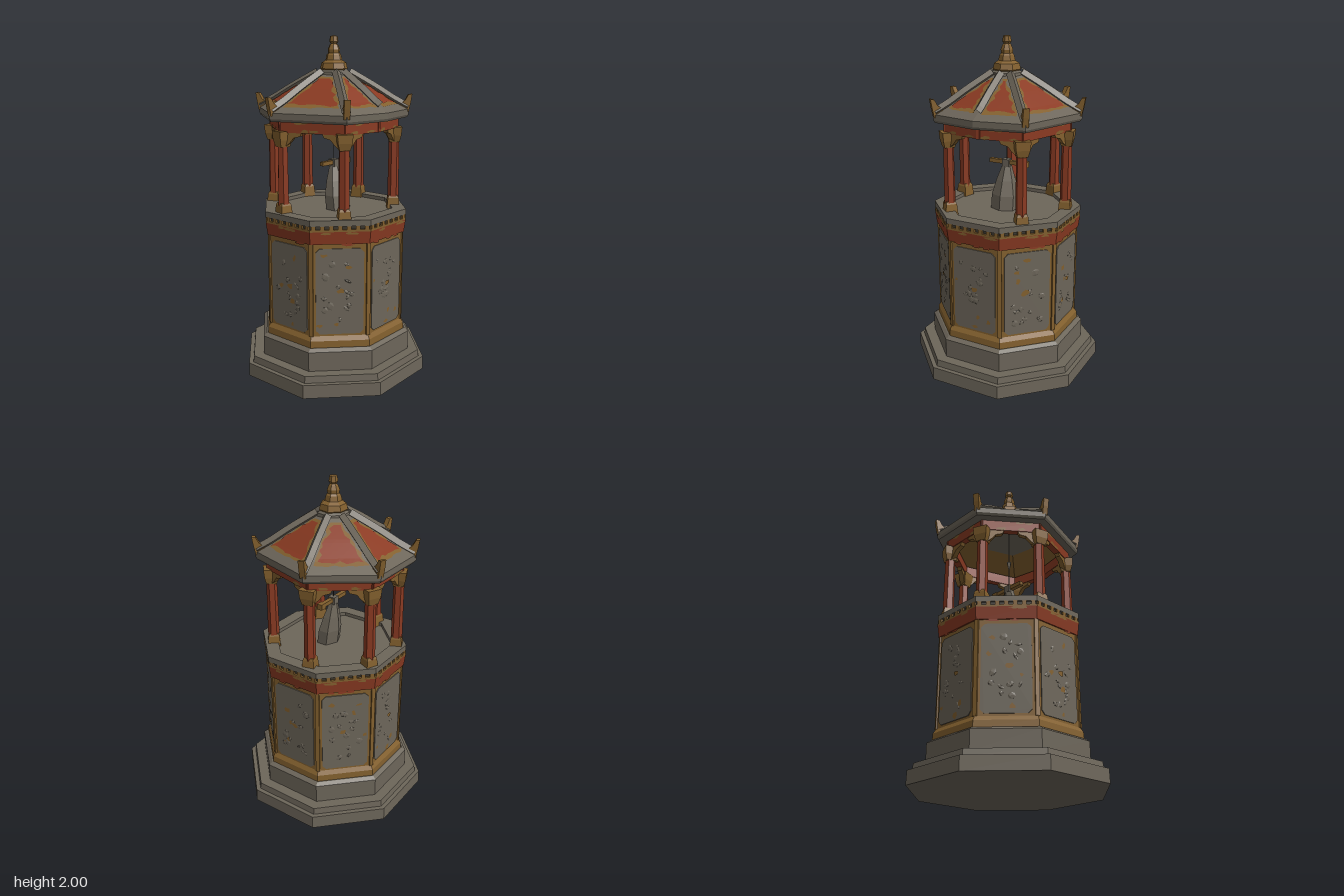
import * as THREE from 'three';

const mat = (name, color, side = THREE.FrontSide) => {
  const m = new THREE.MeshStandardMaterial({ color, flatShading: true, side });
  m.name = name;
  return m;
};

export function createModel() {
  const root = new THREE.Group();
  const stone = mat('weathered stone', 0x6d665a);
  const red = mat('faded red paint', 0x8a3a22);
  const gold = mat('tarnished gold', 0x83602e);
  const dark = mat('dark recess', 0x3b362d);

  let seed = 7;
  const rnd = () => (seed = (seed * 16807) % 2147483647) / 2147483647;
  const wob = a => (rnd() - 0.5) * 2 * a;

  const add = (parent, name, geo, m, x = 0, y = 0, z = 0) => {
    const mesh = new THREE.Mesh(geo, m);
    mesh.name = name;
    mesh.position.set(x, y, z);
    parent.add(mesh);
    return mesh;
  };
  const box = (p, name, m, w, h, d, x, y, z) => add(p, name, new THREE.BoxGeometry(w, h, d), m, x, y, z);
  // Octagonal tier given by its distance from the axis to a flat side
  const C8 = Math.cos(Math.PI / 8);
  const tier = (name, m, a0, a1, y0, y1) => {
    const g = new THREE.CylinderGeometry(a1 / C8, a0 / C8, y1 - y0, 8).rotateY(Math.PI / 8);
    return add(root, name, g, m, 0, (y0 + y1) / 2, 0);
  };
  // Thin ragged flake of paint facing +z
  const flake = (p, name, m, w, h, x, y, z) => {
    const g = new THREE.CircleGeometry(1, 8), a = g.attributes.position;
    for (let i = 1; i < 9; i++) {
      const k = 0.75 + wob(0.3);
      a.setXY(i, a.getX(i) * k, a.getY(i) * k);
    }
    a.setXY(9, a.getX(1), a.getY(1));
    return add(p, name, g.scale(w / 2, h / 2, 1), m, x, y, z);
  };

  // Stepped plinth and body
  tier('plinthStep', stone, 0.532, 0.53, 0, 0.08);
  tier('plinthStep', stone, 0.505, 0.5, 0.08, 0.12);
  tier('pedestal', stone, 0.44, 0.44, 0.12, 0.235);
  tier('pedestalChamfer', stone, 0.44, 0.42, 0.235, 0.25);
  tier('bodyFoot', gold, 0.412, 0.41, 0.25, 0.29);
  tier('bodyFootChamfer', gold, 0.41, 0.395, 0.29, 0.315);
  tier('body', gold, 0.395, 0.395, 0.315, 0.865);
  tier('redBand', red, 0.403, 0.412, 0.865, 0.938);
  tier('dentilLedge', gold, 0.412, 0.412, 0.938, 0.95);
  tier('dentilRecess', dark, 0.4, 0.4, 0.95, 0.972);

  // Rim around the sunken floor
  const octagon = (Ctor, a) => new Ctor(Array.from({ length: 8 }, (_, i) => {
    const t = (i + 0.5) * Math.PI / 4;
    return new THREE.Vector2(Math.cos(t) * a / C8, Math.sin(t) * a / C8);
  }));
  const rimShape = octagon(THREE.Shape, 0.412);
  rimShape.holes.push(octagon(THREE.Path, 0.335));
  add(root, 'rim', new THREE.ExtrudeGeometry(rimShape, { depth: 0.034, bevelEnabled: false }).rotateX(-Math.PI / 2), stone, 0, 0.97, 0);
  tier('floor', stone, 0.337, 0.337, 0.972, 0.982);

  // Panel outline with clipped corners
  const panelShape = (w, h, c) => new THREE.Shape([
    [-w + c, -h], [w - c, -h], [w, -h + c], [w, h - c], [w - c, h], [-w + c, h], [-w, h - c], [-w, -h + c],
  ].map(q => new THREE.Vector2(...q)));

  for (let i = 0; i < 8; i++) {
    const side = new THREE.Group();
    side.name = 'bodySide';
    side.rotation.y = i * Math.PI / 4;
    root.add(side);
    add(side, 'panel', new THREE.ExtrudeGeometry(panelShape(0.137, 0.255, 0.022), { depth: 0.006, bevelEnabled: false }), stone, 0, 0.583, 0.394);
    // Shallow worn carving
    for (let k = 0; k < 14; k++) {
      const lump = add(side, 'carving', new THREE.IcosahedronGeometry(1, 0), stone, wob(0.09), 0.583 + wob(0.19), 0.399);
      lump.scale.set(0.012 + rnd() * 0.018, 0.008 + rnd() * 0.018, 0.005);
      lump.rotation.z = wob(1.5);
    }
    flake(side, 'panelStain', gold, 0.05, 0.04, wob(0.02), 0.59, 0.4055);
    for (let k = 0; k < 4; k++) flake(side, 'panelStain', gold, 0.02 + rnd() * 0.03, 0.02 + rnd() * 0.03, wob(0.12), 0.58 + wob(0.23), 0.4025);
    // Raised corner strip
    const strip = new THREE.Group();
    strip.rotation.y = Math.PI / 8;
    side.add(strip);
    box(strip, 'cornerStrip', gold, 0.024, 0.55, 0.018, 0, 0.59, 0.422);
    // Chipped paint on the red band, and dentils above
    for (let k = 0; k < 3; k++) {
      const f = flake(side, 'bandStain', gold, 0.05 + rnd() * 0.05, 0.02, wob(0.13), 0.93, 0.4135);
      f.rotation.x = 0;
      flake(side, 'bandDrip', red, 0.07, 0.016, wob(0.11), 0.86, 0.4015);
    }
    for (let k = 0; k < 7; k++) box(side, 'dentil', gold, 0.024, 0.026, 0.016, -0.15 + k * 0.05, 0.961, 0.404);
  }

  // Seven-cornered pavilion plan, starting at the front and going towards +x
  const half = [[0.29, 0.335], [0.43, -0.105], [0.188, -0.435]];
  const plan = [[0, 0.39], ...half, ...half.slice().reverse().map(([x, z]) => [-x, z])];
  const profile = [[1, 1.578], [0.8, 1.625], [0.55, 1.695], [0.2, 1.785]];
  const roofY = s => {
    for (let i = 0; i < 3; i++) {
      const [s0, y0] = profile[i], [s1, y1] = profile[i + 1];
      if (s >= s1 || i === 2) return y0 + (y1 - y0) * (s0 - s) / (s0 - s1);
    }
  };
  const edgePoint = (k, u, s, y) => {
    const a = plan[k], b = plan[(k + 1) % 7];
    return [(a[0] + (b[0] - a[0]) * u) * s, y, (a[1] + (b[1] - a[1]) * u) * s];
  };
  // Surface from rows of equally many points
  const sheet = (rows, flip) => {
    const n = rows[0].length, idx = [];
    for (let r = 0; r + 1 < rows.length; r++) for (let c = 0; c + 1 < n; c++) {
      const a = r * n + c, b = a + 1, d = a + n, e = d + 1;
      idx.push(...(flip ? [a, e, b, a, d, e] : [a, b, e, a, e, d]));
    }
    const g = new THREE.BufferGeometry();
    g.setAttribute('position', new THREE.Float32BufferAttribute(rows.flat(2), 3));
    g.setIndex(idx);
    const f = g.toNonIndexed();
    f.computeVertexNormals();
    return f;
  };
  const loop = (s, y) => [0, 1, 2, 3, 4, 5, 6, 0].map(k => edgePoint(k, 0, s, y));

  add(root, 'eave', sheet([loop(0.8, 1.53), loop(0.98, 1.53), loop(1, 1.545), loop(1, 1.578)]), stone);
  add(root, 'roofSlope', sheet(profile.map(([s, y]) => loop(s, y))), stone);
  add(root, 'ceilingEdge', sheet([loop(0.82, 1.53), loop(0.5, 1.64)], true), gold);
  add(root, 'ceiling', sheet([loop(0.5, 1.64), loop(0.02, 1.72)], true), stone);

  // Painted roof fields with ragged borders
  const field = (k, d, s0, s1, lift, rag) => {
    const a = plan[k], b = plan[(k + 1) % 7], len = Math.hypot(a[0] - b[0], a[1] - b[1]);
    const rows = [];
    for (let r = 0; r <= 10; r++) {
      const s = s0 + (s1 - s0) * r / 10, row = [];
      const m0 = Math.min(0.42, (d + rnd() * rag) / (s * len)), m1 = Math.min(0.42, (d + rnd() * rag) / (s * len));
      for (let c = 0; c <= 8; c++) {
        const ss = s + (r === 0 ? wob(rag) : 0);
        row.push(edgePoint(k, m0 + (1 - m0 - m1) * c / 8, ss, roofY(ss) + lift));
      }
      rows.push(row);
    }
    return sheet(rows);
  };

  const V = (x, y, z) => new THREE.Vector3(x, y, z);
  plan.forEach(([x, z], k) => {
    add(root, 'roofGoldBorder', field(k, 0.022, 0.875, 0.28, 0.004, 0.018), gold);
    add(root, 'roofRedField', field(k, 0.034, 0.835, 0.33, 0.008, 0.025), red);

    // Ridge rib, with an upturned horn on all corners but the front one
    const end = k === 0 ? 0.88 : 0.98;
    const ribPts = [end, 0.8, 0.55, 0.2].map(s => V(x * s, roofY(s) + 0.008, z * s));
    add(root, 'roofRib', new THREE.TubeGeometry(new THREE.CatmullRomCurve3(ribPts), 8, 0.025, 4), stone);
    const ang = Math.atan2(x, z);
    if (k > 0) {
      const horn = new THREE.Group();
      horn.name = 'roofHorn';
      horn.position.set(x * 0.97, 1.585, z * 0.97);
      horn.rotation.y = ang;
      root.add(horn);
      const g = new THREE.ExtrudeGeometry(new THREE.Shape([
        [-0.055, 0.01], [0.01, -0.025], [0.022, 0.03], [0.03, 0.08], [0.008, 0.078], [-0.01, 0.045],
      ].map(q => new THREE.Vector2(...q))), { depth: 0.034, bevelEnabled: false });
      add(horn, 'hornBlade', g.translate(0, 0, -0.017).rotateY(-Math.PI / 2), gold);
    }

    // Beam to the next corner
    const S = 0.81, [nx, nz] = plan[(k + 1) % 7];
    const len = Math.hypot(nx - x, nz - z) * S;
    const beam = new THREE.Group();
    beam.name = 'beam';
    beam.position.set((x + nx) / 2 * S, 1.5, (z + nz) / 2 * S);
    beam.rotation.y = Math.atan2(-(nz - z), nx - x);
    root.add(beam);
    box(beam, 'beamBar', red, len + 0.03, 0.065, 0.04, 0, 0, 0);
    for (let i = 0; i < 4; i++) flake(beam, 'beamStain', gold, 0.07, 0.025, wob(len * 0.4), i % 2 ? 0.024 : -0.022, 0.0215);
    // Curved braces under the beam beside each column
    const brace = new THREE.Shape([
      [0, 0], [0.125, 0], [0.115, -0.022], [0.075, -0.032], [0.052, -0.06], [0.028, -0.08], [0, -0.085],
    ].map(q => new THREE.Vector2(...q)));
    const bg = new THREE.ExtrudeGeometry(brace, { depth: 0.03, bevelEnabled: false }).translate(0, 0, -0.015);
    if (k !== 0) add(beam, 'brace', bg, gold, -len / 2, -0.03, 0);
    if (k !== 6) add(beam, 'brace', bg, gold, len / 2, -0.03, 0).rotation.y = Math.PI;

    // Column; the front corner stays open as the entrance
    if (k === 0) return;
    const col = new THREE.Group();
    col.name = 'column';
    col.position.set(x * S, 0, z * S);
    col.rotation.y = ang;
    root.add(col);
    const block = (name, r0, r1, y0, y1) =>
      add(col, name, new THREE.CylinderGeometry(r1, r0, y1 - y0, 4).rotateY(Math.PI / 4), gold, 0, (y0 + y1) / 2, 0);
    block('columnBase', 0.054, 0.046, 0.98, 1.045);
    block('columnBaseTop', 0.046, 0.038, 1.045, 1.06);
    add(col, 'columnShaft', new THREE.CylinderGeometry(0.031, 0.034, 0.36, 6), red, 0, 1.22, 0);
    block('capital', 0.042, 0.056, 1.385, 1.425);
    block('capitalTop', 0.056, 0.062, 1.425, 1.475);
  });

  // Crown and finial
  const lathe = (name, m, pts, n) => add(root, name, new THREE.LatheGeometry(pts.map(q => new THREE.Vector2(...q)), n), m);
  lathe('crownCollar', stone, [[0.1, 1.75], [0.092, 1.795], [0.07, 1.81], [0, 1.81]], 7);
  lathe('finial', gold, [[0.07, 1.795], [0.082, 1.812], [0.074, 1.845], [0.05, 1.86], [0.043, 1.89], [0.034, 1.9],
    [0.036, 1.92], [0.026, 1.945], [0.018, 1.952], [0.027, 1.965], [0.022, 1.995], [0, 2]], 7);

  // Leaning standing stone with a crossbar
  const rock = new THREE.CylinderGeometry(0.034, 0.092, 0.26, 6, 3), rp = rock.attributes.position;
  for (let i = 0; i < rp.count; i++) {
    const t = rp.getY(i) / 0.26 + 0.5;
    const bulge = 1 + 0.3 * Math.sin(t * Math.PI);
    rp.setXYZ(i, rp.getX(i) * bulge * 0.92, rp.getY(i), rp.getZ(i) * bulge * 0.7 + 0.035 * (1 - t));
  }
  add(root, 'standingStone', rock, stone, 0, 1.11, 0);
  box(root, 'crossbar', gold, 0.25, 0.024, 0.026, 0.012, 1.262, 0);
  box(root, 'crossbarTip', gold, 0.04, 0.034, 0.034, 0.12, 1.26, 0);
  box(root, 'crossbarClamp', stone, 0.045, 0.045, 0.045, 0, 1.258, 0);

  // Cord and pendant below the ceiling
  add(root, 'cord', new THREE.CylinderGeometry(0.003, 0.003, 0.44, 4), dark, 0, 1.5, 0);
  add(root, 'pendant', new THREE.ConeGeometry(0.018, 0.07, 4).rotateX(Math.PI), stone, 0, 1.42, 0);
  return root;
}
